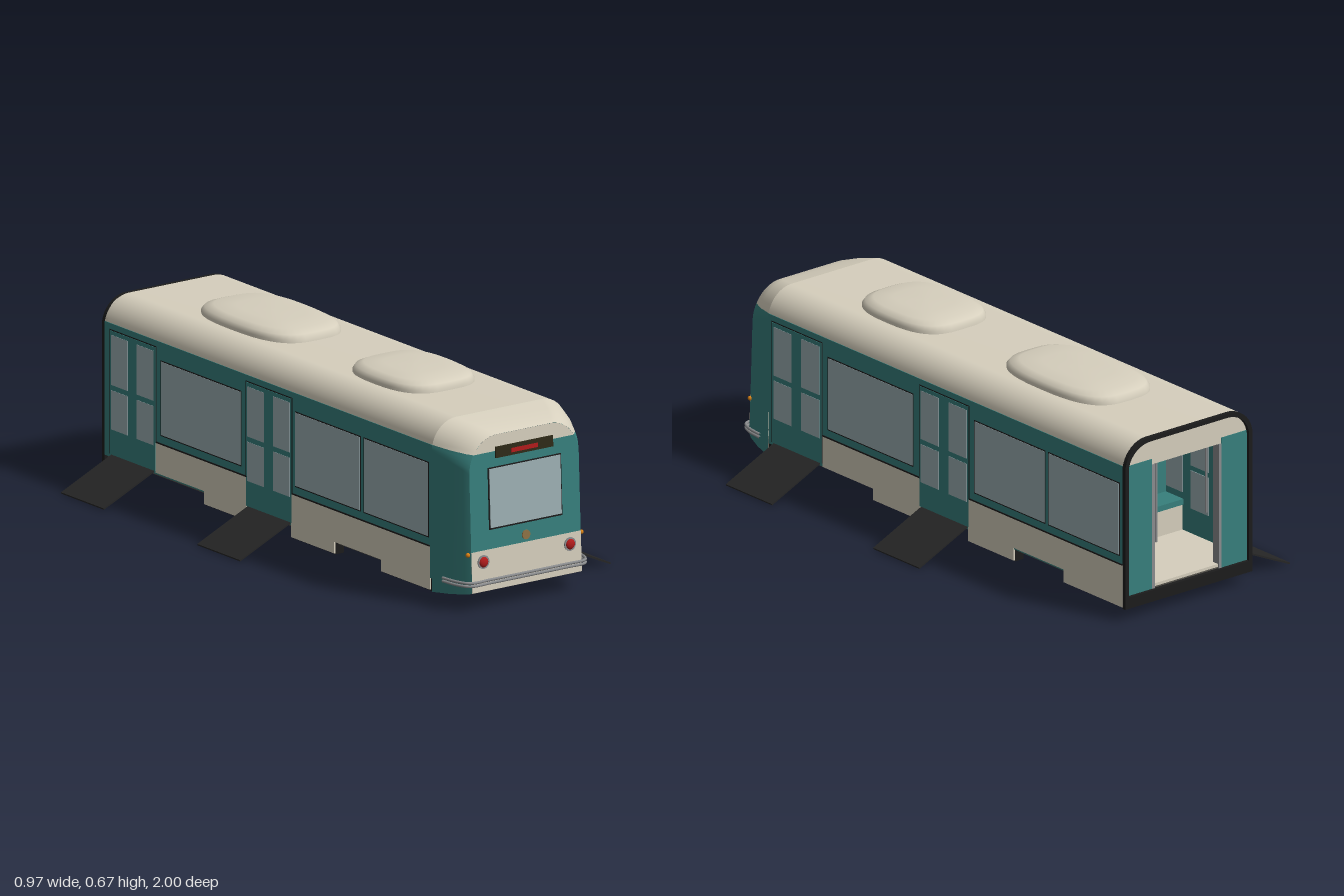
import * as THREE from 'three';

const mat = (color, side = THREE.FrontSide) => new THREE.MeshStandardMaterial({ color, side });
const TEAL = mat(0x37807d), CREAM = mat(0xd6cfbd), BLACK = mat(0x1c1c1c), GLASS = mat(0x9db0b4);
const UNDER = mat(0x54524b), GREY = mat(0x8b8d8f), RED = mat(0xb01c1c), AMBER = mat(0xd98014);
const SIGN = mat(0x2e2a18), BRONZE = mat(0x8f7245), RAMP = mat(0x262626);
const TEAL2 = mat(0x37807d, THREE.DoubleSide), CREAM2 = mat(0xd6cfbd, THREE.DoubleSide);
const UNDER2 = mat(0x54524b, THREE.DoubleSide);

const TILT = 0.04, FACE_Z = 0.9886, REAR = -0.985, NOSE = 0.83;

function add(parent, name, geometry, material, x = 0, y = 0, z = 0) {
  const mesh = new THREE.Mesh(geometry, material);
  mesh.name = name;
  mesh.position.set(x, y, z);
  parent.add(mesh);
  return mesh;
}

// box given by its limits on each axis
function box(parent, name, material, [x0, x1], [y0, y1], [z0, z1]) {
  return add(parent, name, new THREE.BoxGeometry(Math.abs(x1 - x0), Math.abs(y1 - y0), Math.abs(z1 - z0)),
    material, (x0 + x1) / 2, (y0 + y1) / 2, (z0 + z1) / 2);
}

// cross-section of the body: s = 0 is the full body, s = 1 the smaller front face
function section(s) {
  const mix = (a, b) => a + (b - a) * s;
  const w = mix(0.275, 0.225), bottom = mix(0.045, 0.065), yc = mix(0.53, 0.47);
  const rx = mix(0.1, 0.115), ry = mix(0.1, 0.12), split = mix(0.2, 0.57);
  const corner = a => [w - rx + rx * Math.cos(a), yc + ry * Math.sin(a)];
  const side = [[w, bottom], [w, 0.2], [w, yc]];
  for (let i = 1; i <= 4; i++) side.push(corner(split * i / 4));
  const half = [];
  for (let i = 0; i <= 10; i++) half.push(corner(split + (Math.PI / 2 - split) * i / 10));
  const mirror = pts => pts.map(([x, y]) => [-x, y]);
  const roof = [...half, ...mirror(half).reverse()];
  return { left: side, right: mirror(side).reverse(), roof, bottom: [[-w, bottom], [w, bottom]] };
}

// skin through a list of { pts, z(y) } cross-sections
function loft(rings) {
  const n = rings[0].pts.length, pos = [], idx = [];
  for (const r of rings) for (const [x, y] of r.pts) pos.push(x, y, r.z(y));
  for (let i = 0; i < rings.length - 1; i++) for (let j = 0; j < n - 1; j++) {
    const a = i * n + j, b = a + n;
    idx.push(a, a + 1, b, b, a + 1, b + 1);
  }
  const g = new THREE.BufferGeometry();
  g.setAttribute('position', new THREE.Float32BufferAttribute(pos, 3));
  g.setIndex(idx);
  g.computeVertexNormals();
  return g;
}

const outline = pts => new THREE.Shape(pts.map(([x, y]) => new THREE.Vector2(x, y)));

function buildShell(g) {
  const body = section(0);
  add(g, 'roof', loft([REAR, NOSE].map(z => ({ pts: body.roof, z: () => z }))), CREAM2);
  const stations = [[0, NOSE], [0.35, 0.905], [0.75, 0.965], [1, FACE_Z]];
  for (const [key, m] of [['left', TEAL2], ['right', TEAL2], ['roof', CREAM2], ['bottom', UNDER2]])
    add(g, 'nose ' + key, loft(stations.map(([s, z]) => ({ pts: section(s)[key], z: y => z - s * TILT * y }))), m);
  box(g, 'floor', CREAM, [-0.25, 0.25], [0.09, 0.1], [REAR, 0.9]);
  box(g, 'underside', UNDER, [-0.26, 0.26], [0.08, 0.09], [REAR, NOSE]);
  box(g, 'front sill', BLACK, [-0.272, 0.272], [0.046, 0.09], [0.8, NOSE]);
  box(g, 'ceiling', GREY, [-0.25, 0.25], [0.555, 0.565], [REAR + 0.01, 0.85]);

  // roof pods: rounded-rectangle domes
  for (const [z0, z1] of [[0.15, 0.565], [-0.7, -0.165]]) {
    const levels = [[1, 0.615], [1, 0.64], [0.95, 0.655], [0.82, 0.667], [0.5, 0.673], [0, 0.674]];
    const pos = [], idx = [], n = 40, p = (v, e) => Math.sign(v) * Math.abs(v) ** e;
    for (const [k, y] of levels) for (let i = 0; i < n; i++) {
      const a = i / n * Math.PI * 2;
      pos.push(0.163 * k * p(Math.cos(a), 0.6), y, (z1 - z0) / 2 * k * p(Math.sin(a), 0.75));
    }
    for (let l = 0; l < levels.length - 1; l++) for (let i = 0; i < n; i++) {
      const a = l * n + i, b = l * n + (i + 1) % n;
      idx.push(a, a + n, b, b, a + n, b + n);
    }
    const geo = new THREE.BufferGeometry();
    geo.setAttribute('position', new THREE.Float32BufferAttribute(pos, 3));
    geo.setIndex(idx);
    geo.computeVertexNormals();
    add(g, 'roof pod', geo, CREAM2, 0, 0, (z0 + z1) / 2);
  }
}

function buildFront(g) {
  const face = new THREE.Group();
  face.name = 'front face';
  face.position.z = FACE_Z;
  face.rotation.x = -TILT;
  g.add(face);
  const { left, right, roof } = section(1);
  const teal = [[-0.225, 0.205], [0.225, 0.205], ...left.slice(2), ...right.slice(0, -2)];
  add(face, 'front panel', new THREE.ShapeGeometry(outline(teal)), TEAL2);
  add(face, 'front brow', new THREE.ShapeGeometry(outline(roof)), CREAM2);
  box(face, 'front apron', CREAM, [-0.225, 0.225], [0.066, 0.205], [-0.01, 0.001]);
  box(face, 'windscreen seal', BLACK, [-0.15, 0.15], [0.271, 0.482], [-0.005, 0.003]);
  box(face, 'windscreen', GLASS, [-0.146, 0.146], [0.277, 0.478], [-0.005, 0.005]);
  box(face, 'destination sign', SIGN, [-0.118, 0.118], [0.511, 0.549], [-0.005, 0.005]);
  box(face, 'sign display', RED, [-0.055, 0.055], [0.52, 0.535], [0, 0.006]);
  const disc = (name, r, d, m, x, y) =>
    add(face, name, new THREE.CylinderGeometry(r, r, d, 28).rotateX(Math.PI / 2), m, x, y, 0);
  disc('round cover', 0.016, 0.008, BRONZE, 0, 0.23);
  for (const s of [-1, 1]) {
    disc('lamp ring', 0.023, 0.01, GREY, s * 0.178, 0.167);
    add(face, 'lamp', new THREE.SphereGeometry(0.018, 20, 12).scale(1, 1, 0.5), RED, s * 0.178, 0.167, 0.004);
    add(face, 'indicator', new THREE.SphereGeometry(0.008, 14, 10), AMBER, s * 0.233, 0.197, -0.008);
  }
  // wrap-round bumper rails
  for (const y of [0.093, 0.104]) {
    const path = new THREE.CatmullRomCurve3([[-0.268, 0.88], [-0.258, 0.95], [-0.235, 0.99], [-0.15, 0.993],
      [0.15, 0.993], [0.235, 0.99], [0.258, 0.95], [0.268, 0.88]].map(([x, z]) => new THREE.Vector3(x, y, z)));
    add(g, 'bumper rail', new THREE.TubeGeometry(path, 60, 0.005, 8), GREY);
  }
}

// one side wall; s is +1 for left, -1 for right
function buildSide(g, s, { skirts, windows, doors }) {
  const layer = (name, m, out, y, z, inner = 0.26) => box(g, name, m, [s * inner, s * out], y, z);
  layer('side wall', TEAL, 0.275, [0.2, 0.55], [REAR, NOSE], 0.252);
  layer('door sill panel', TEAL, 0.2745, [0.09, 0.2], [REAR, NOSE], 0.252);
  for (const [z0, z1, y] of skirts) {
    layer('skirt', CREAM, 0.2765, [y, 0.198], [z0, z1], 0.27);
    layer('skirt trim', BLACK, 0.277, [0.198, 0.203], [z0, z1]);
    if (y < 0.08) layer('skirt backing', BLACK, 0.27, [0.046, 0.095], [z0, z1], 0.235);
  }
  for (const z of windows) {
    layer('window seal', BLACK, 0.276, [0.228, 0.488], [z[0] + 0.004, z[1] - 0.004]);
    layer('window', GLASS, 0.277, [0.232, 0.484], z, 0.25);
  }
  for (const [z0, z1] of doors) {
    const mid = (z0 + z1) / 2;
    layer('door outline', BLACK, 0.2755, [0.1, 0.53], [z0 + 0.012, z1 - 0.012]);
    layer('door', TEAL, 0.277, [0.1, 0.526], [z0 + 0.008, z1 - 0.008]);
    for (const z of [[z0, mid + 0.025], [mid - 0.025, z1]])
      for (const y of [[0.187, 0.322], [0.34, 0.512]]) layer('door glass', GLASS, 0.278, y, z, 0.25);
    for (const k of [-1, 1])
      add(g, 'door handrail', new THREE.CylinderGeometry(0.004, 0.004, 0.26, 8), GREY, s * 0.245, 0.33, mid + k * 0.03);
    const ramp = add(g, 'ramp', new THREE.BoxGeometry(0.229, 0.006, z0 - z1), RAMP, s * 0.378, 0.0505, mid);
    ramp.rotation.z = -s * 0.425;
  }
}

function buildRear(g) {
  const { left, right, roof } = section(0);
  const ring = [...left, ...roof, ...right];
  const frame = outline(ring);
  frame.holes.push(new THREE.Path(ring.map(([x, y]) =>
    new THREE.Vector2(x * 0.945, y < 0.1 ? 0.085 : y < 0.5 ? y : 0.53 + (y - 0.53) * 0.85))));
  add(g, 'rear gasket', new THREE.ExtrudeGeometry(frame, { depth: 0.015, bevelEnabled: false }), BLACK, 0, 0, -1);
  add(g, 'rear header', new THREE.ExtrudeGeometry(outline([...roof, [-0.27, 0.525], [0.27, 0.525]]),
    { depth: 0.015, bevelEnabled: false }), CREAM, 0, 0, REAR - 0.001);
  for (const s of [-1, 1]) {
    box(g, 'rear wall', TEAL, [s * 0.15, s * 0.265], [0.085, 0.545], [REAR - 0.003, -0.97]);
    box(g, 'door jamb', GREY, [s * 0.138, s * 0.15], [0.085, 0.525], [REAR - 0.004, -0.96]);
  }
}

function buildInterior(g) {
  for (const s of [-1, 1]) for (const z of [-0.62, -0.45, -0.3, 0.15, 0.35, 0.5]) {
    box(g, 'seat base', CREAM, [s * 0.12, s * 0.25], [0.1, 0.19], [z - 0.05, z + 0.04]);
    box(g, 'seat cushion', TEAL, [s * 0.1, s * 0.25], [0.19, 0.21], [z - 0.055, z + 0.055]);
    box(g, 'seat back', TEAL, [s * 0.1, s * 0.25], [0.21, 0.35], [z + 0.035, z + 0.055]);
  }
  for (const s of [-1, 1]) {
    for (const z of [-0.7, -0.2, 0.06, 0.55])
      add(g, 'pole', new THREE.CylinderGeometry(0.005, 0.005, 0.455, 8), GREY, s * 0.11, 0.328, z);
    add(g, 'ceiling rail', new THREE.CylinderGeometry(0.005, 0.005, 1.6, 8).rotateX(Math.PI / 2), GREY, s * 0.11, 0.51, -0.1);
  }
}

export function createModel() {
  const g = new THREE.Group();
  g.name = 'rail car';
  buildShell(g);
  buildFront(g);
  buildSide(g, 1, {
    skirts: [[0.55, 0.29, 0.09], [0.29, 0.05, 0.05], [-0.195, -0.43, 0.05], [-0.43, -0.685, 0.095], [-0.685, REAR, 0.05]],
    windows: [[0.52, 0.09], [-0.23, -0.587], [-0.61, -0.968]],
    doors: [[0.8, 0.565], [0.045, -0.19]],
  });
  buildSide(g, -1, {
    skirts: [[0.82, 0.55, 0.05], [0.55, 0.29, 0.09], [0.29, 0.05, 0.05], [-0.195, -0.43, 0.05], [-0.43, -0.7, 0.095]],
    windows: [[0.81, 0.455], [0.432, 0.075], [-0.23, -0.67]],
    doors: [[0.045, -0.19], [-0.71, -0.945]],
  });
  buildRear(g);
  buildInterior(g);
  return g;
}
